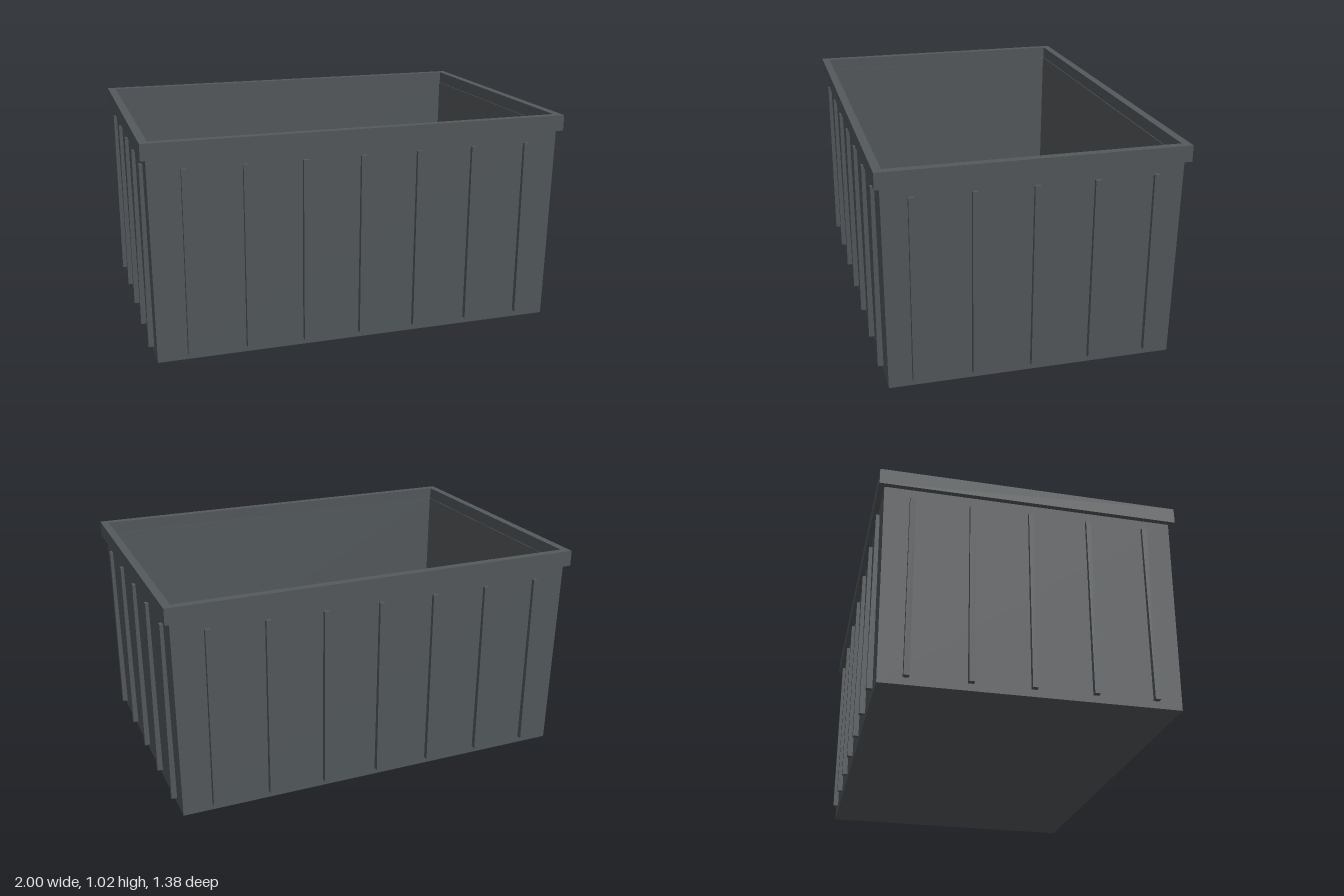
import * as THREE from 'three';

// Lofts rectangular rings [halfX, y, halfZ] into a flat-sided surface
function loftRings(rings, capStart, capEnd) {
  const pos = [];
  const corners = ([x, y, z]) => [[x, y, z], [x, y, -z], [-x, y, -z], [-x, y, z]];
  const quad = (a, b, c, d) => pos.push(...a, ...b, ...c, ...a, ...c, ...d);
  for (let i = 0; i < rings.length - 1; i++) {
    const a = corners(rings[i]), b = corners(rings[i + 1]);
    for (let k = 0; k < 4; k++) {
      const n = (k + 1) % 4;
      quad(a[k], a[n], b[n], b[k]);
    }
  }
  if (capStart) quad(...corners(rings[0]).reverse());
  if (capEnd) quad(...corners(rings[rings.length - 1]));
  const geo = new THREE.BufferGeometry();
  geo.setAttribute('position', new THREE.Float32BufferAttribute(pos, 3));
  geo.computeVertexNormals();
  return geo;
}

export function createModel() {
  const model = new THREE.Group();
  model.name = 'storageBin';
  const plastic = new THREE.MeshStandardMaterial({ color: 0x54595c });
  plastic.name = 'dark grey plastic';

  const add = (name, geo, parent = model) => {
    const mesh = new THREE.Mesh(geo, plastic);
    mesh.name = name;
    parent.add(mesh);
    return mesh;
  };

  // Tapered open shell: outside up, over the lip, inside down to the floor
  add('shell', loftRings([
    [0.965, 0, 0.658], [0.976, 0.96, 0.668],
    [0.958, 0.96, 0.65], [0.948, 0.025, 0.641],
  ], true, true));

  // Rim band around the top edge
  add('rim', loftRings([
    [0.962, 0.945, 0.654], [1, 0.945, 0.692], [1, 1.02, 0.692],
    [0.962, 1.02, 0.654], [0.962, 0.945, 0.654],
  ], false, false));

  // Upright stiffening ribs on all four walls
  const ribs = new THREE.Group();
  ribs.name = 'ribs';
  model.add(ribs);
  const bottom = 0.033, top = 0.895, width = 0.025, depth = 0.034;
  const longRib = new THREE.BoxGeometry(width, top - bottom, depth);
  const shortRib = new THREE.BoxGeometry(depth, top - bottom, width);
  const midY = (top + bottom) / 2;
  for (const side of [1, -1]) {
    for (let i = -3; i <= 3; i++) {
      add(side > 0 ? 'frontRib' : 'backRib', longRib, ribs)
        .position.set(i * 0.272, midY, side * (0.684 - depth / 2));
    }
    for (let i = -2; i <= 2; i++) {
      add(side > 0 ? 'leftRib' : 'rightRib', shortRib, ribs)
        .position.set(side * (0.991 - depth / 2), midY, i * 0.27);
    }
  }
  return model;
}
